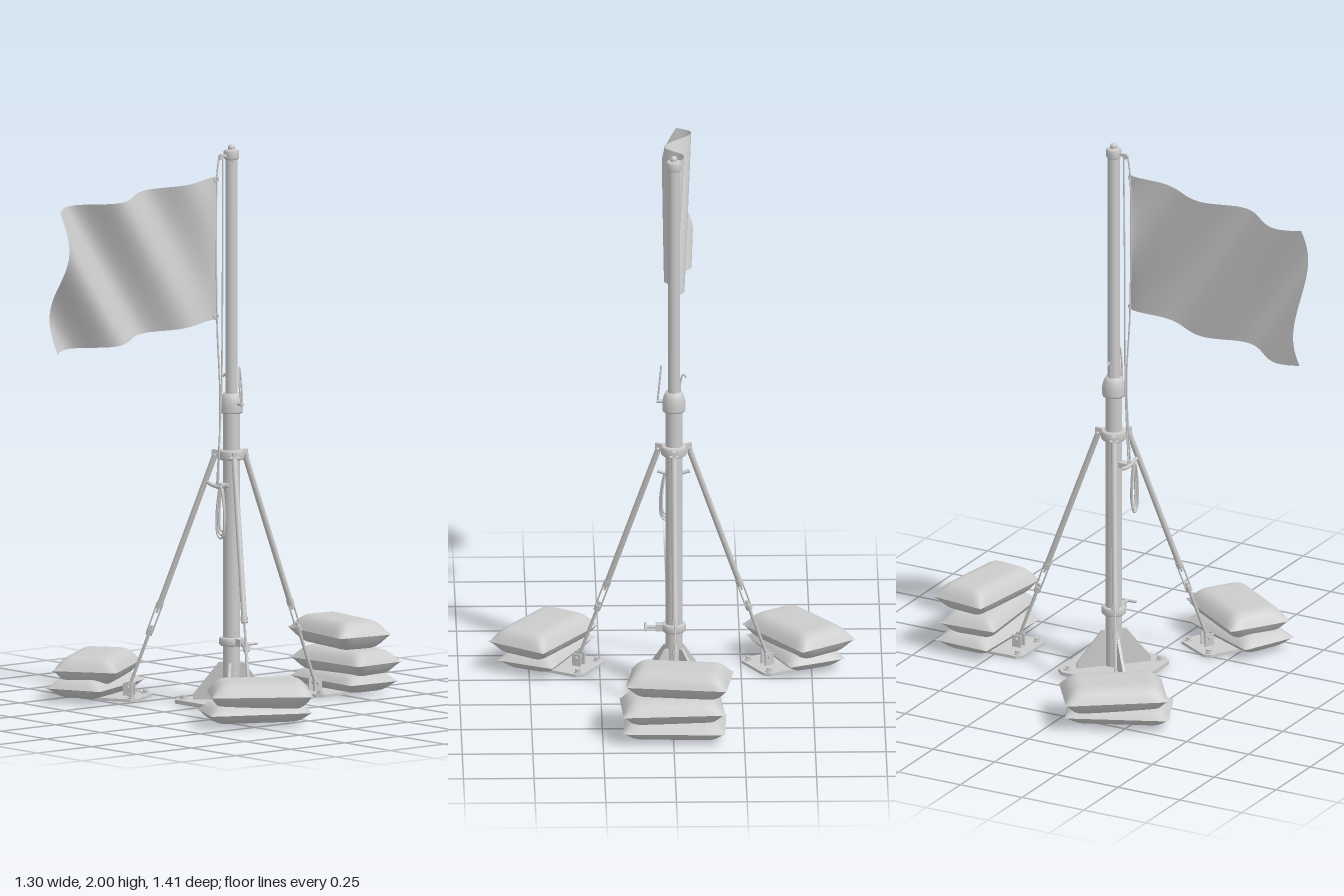
import * as THREE from 'three';

const GREY = new THREE.MeshStandardMaterial({ color: 0xcccccc });
const THIN = new THREE.MeshStandardMaterial({ color: 0xcccccc, side: THREE.DoubleSide });
const V = (x, y, z) => new THREE.Vector3(x, y, z);

function add(parent, name, geometry, x = 0, y = 0, z = 0, material = GREY) {
  const mesh = new THREE.Mesh(geometry, material);
  mesh.name = name;
  mesh.position.set(x, y, z);
  parent.add(mesh);
  return mesh;
}

// Round bar between two points
function rod(parent, name, a, b, r, sides = 12) {
  const mesh = add(parent, name, new THREE.CylinderGeometry(r, r, a.distanceTo(b), sides));
  mesh.position.copy(a).lerp(b, 0.5);
  mesh.quaternion.setFromUnitVectors(V(0, 1, 0), b.clone().sub(a).normalize());
  return mesh;
}

function rope(parent, name, points, r, closed = false) {
  const curve = new THREE.CatmullRomCurve3(points, closed);
  return add(parent, name, new THREE.TubeGeometry(curve, 48, r, 8, closed));
}

// Flat plate with cut corners, lying on y = 0
function plate(w, d, cut, t) {
  const a = w / 2, b = d / 2;
  const shape = new THREE.Shape([
    [-a + cut, -b], [a - cut, -b], [a, -b + cut], [a, b - cut],
    [a - cut, b], [-a + cut, b], [-a, b - cut], [-a, -b + cut],
  ].map(([x, y]) => new THREE.Vector2(x, y)));
  return new THREE.ExtrudeGeometry(shape, { depth: t, bevelEnabled: false }).rotateX(-Math.PI / 2);
}

// Ring sleeve with a bore
function sleeve(rIn, rOut, h) {
  const c = Math.min(0.005, h / 4);
  const p = [[rIn, 0], [rOut - c, 0], [rOut, c], [rOut, h - c], [rOut - c, h], [rIn, h]];
  return new THREE.LatheGeometry(p.map(([x, y]) => new THREE.Vector2(x, y)), 32);
}

function bolt(parent, x, y, z) {
  add(parent, 'washer', new THREE.CylinderGeometry(0.014, 0.014, 0.004, 16), x, y + 0.002, z);
  add(parent, 'boltHead', new THREE.CylinderGeometry(0.009, 0.009, 0.01, 6), x, y + 0.008, z);
}

// Pillow with a sharp seam around the middle
function sandbag(parent, x, y, z, yaw, h, length = 0.36, width = 0.215) {
  const bag = new THREE.Group();
  bag.name = 'sandbag';
  const geo = new THREE.PlaneGeometry(length, width, 36, 24).rotateX(-Math.PI / 2);
  const pos = geo.attributes.position;
  const swell = d => 1 - (1 - Math.min(d / 0.075, 1)) ** 3;
  for (let i = 0; i < pos.count; i++) {
    const dx = length / 2 - Math.abs(pos.getX(i)), dz = width / 2 - Math.abs(pos.getZ(i));
    pos.setY(i, h * swell(dx) * swell(dz));
  }
  geo.computeVertexNormals();
  add(bag, 'bagTop', geo);
  add(bag, 'bagBottom', geo.clone().rotateX(Math.PI));
  bag.position.set(x, y, z);
  bag.rotation.y = yaw;
  parent.add(bag);
}

// Brace, turnbuckle and anchor plate, built outward along +x
function buildBrace() {
  const g = new THREE.Group();
  g.name = 'brace';
  const top = V(0.062, 0.885, 0), foot = V(0.385, 0.04, 0);
  const at = t => top.clone().lerp(foot, t);
  const across = V(0.934, 0.357, 0);
  add(g, 'collarLug', new THREE.BoxGeometry(0.04, 0.03, 0.012), 0.052, 0.89, 0);
  rod(g, 'lugPin', V(0.062, 0.885, -0.016), V(0.062, 0.885, 0.016), 0.006);
  rod(g, 'braceTube', top, at(0.64), 0.0105);
  rod(g, 'upperNut', at(0.635), at(0.66), 0.013, 6);
  for (const s of [-1, 1]) {
    const off = across.clone().multiplyScalar(s * 0.01);
    rod(g, 'turnbuckleSide', at(0.65).add(off), at(0.76).add(off), 0.003, 8);
    add(g, 'anchorEar', new THREE.BoxGeometry(0.035, 0.045, 0.006), 0.385, 0.033, s * 0.014);
  }
  rod(g, 'turnbuckleScrew', at(0.65), at(0.68), 0.004, 8);
  rod(g, 'lowerNut', at(0.75), at(0.775), 0.012, 6);
  rod(g, 'lowerRod', at(0.735), foot, 0.006);
  rod(g, 'anchorPin', V(0.385, 0.04, -0.025), V(0.385, 0.04, 0.025), 0.007);
  add(g, 'anchorPlate', plate(0.175, 0.19, 0.02, 0.01), 0.412, 0, 0);
  for (const s of [-1, 1]) bolt(g, 0.35, 0.01, s * 0.07);
  return g;
}

// Waving cloth: slanted ripples that grow toward the free edge
function buildFlag() {
  const geo = new THREE.PlaneGeometry(1, 1, 72, 48);
  const pos = geo.attributes.position;
  for (let i = 0; i < pos.count; i++) {
    const u = pos.getX(i) + 0.5, d = (0.5 - pos.getY(i)) * 0.51, z = 0.7 * u;
    const wave = Math.cos(2 * Math.PI * ((z - 0.7) / 0.33 + (d - 0.125) / 0.53));
    const x = -0.01 - 0.025 * u + 0.055 * Math.pow(u, 0.6) * wave;
    pos.setXYZ(i, x, 1.89 - d - 0.07 * u - 0.005 * u * wave, z + 0.003);
  }
  geo.computeVertexNormals();
  return geo;
}

export function createModel() {
  const model = new THREE.Group();
  const mast = new THREE.Group();
  mast.name = 'mast';
  mast.position.set(-0.01, 0, -0.067);
  model.add(mast);

  // Base plate, bolts and diagonal gussets
  add(mast, 'basePlate', plate(0.31, 0.31, 0.03, 0.014));
  const gusset = new THREE.Shape([[0.025, 0], [0.135, 0], [0.135, 0.02], [0.045, 0.135], [0.025, 0.135]]
    .map(([x, y]) => new THREE.Vector2(x, y)));
  const gussetGeo = new THREE.ExtrudeGeometry(gusset, { depth: 0.01, bevelEnabled: false }).translate(0, 0.013, -0.005);
  for (let i = 0; i < 4; i++) {
    const a = Math.PI / 4 + i * Math.PI / 2;
    add(mast, 'gusset', gussetGeo).rotation.y = a;
    bolt(mast, Math.cos(a) * 0.17, 0.014, Math.sin(a) * 0.17);
  }

  // Pole sections, collars and finial
  add(mast, 'lowerPole', new THREE.CylinderGeometry(0.03, 0.03, 1.04, 32), 0, 0.53, 0);
  add(mast, 'upperPole', new THREE.CylinderGeometry(0.0215, 0.0215, 0.9, 32), 0, 1.5, 0);
  add(mast, 'baseCollar', sleeve(0.028, 0.043, 0.03), 0, 0.208, 0);
  const neck = [[0.029, 0], [0.04, 0], [0.041, 0.006], [0.041, 0.035], [0.036, 0.055], [0.029, 0.07], [0.021, 0.07]];
  add(mast, 'clampCollar', new THREE.LatheGeometry(neck.map(([x, y]) => new THREE.Vector2(x, y)), 32), 0, 1.04, 0);
  add(mast, 'braceCollar', sleeve(0.028, 0.046, 0.035), 0, 0.873, 0);
  add(mast, 'topCap', sleeve(0.005, 0.027, 0.035), 0, 1.945, 0);
  add(mast, 'finialNeck', new THREE.CylinderGeometry(0.009, 0.014, 0.012, 20), 0, 1.983, 0);
  add(mast, 'finial', new THREE.SphereGeometry(0.0125, 20, 14), 0, 1.9875, 0);

  // Clamp screw with T handle on the base collar
  rod(mast, 'clampScrew', V(0.035, 0.223, 0), V(0.1, 0.223, 0), 0.006);
  rod(mast, 'clampHandle', V(0.1, 0.223, -0.035), V(0.1, 0.223, 0.035), 0.005);
  add(mast, 'clampBoss', new THREE.BoxGeometry(0.03, 0.026, 0.03), 0.05, 0.223, 0);

  // Locking pin with long pull loop, and small hook opposite
  rod(mast, 'lockPin', V(0.03, 1.075, 0), V(0.062, 1.075, 0), 0.007);
  rope(mast, 'pullLoop', [V(0.058, 1.07, 0), V(0.054, 1.11, 0.004), V(0.048, 1.17, 0.004), V(0.045, 1.208, 0),
    V(0.048, 1.17, -0.004), V(0.054, 1.11, -0.004)], 0.003, true);
  rope(mast, 'sideHook', [V(-0.022, 1.105, 0), V(-0.024, 1.15, 0), V(-0.034, 1.175, 0), V(-0.044, 1.165, 0)], 0.0035);

  // Braces with anchor plates
  for (let i = 0; i < 3; i++) {
    const brace = buildBrace();
    brace.rotation.y = Math.PI / 2 + i * Math.PI * 2 / 3;
    mast.add(brace);
  }

  // Cleat
  add(mast, 'cleatFoot', new THREE.BoxGeometry(0.03, 0.02, 0.035), 0, 0.782, 0.042);
  rope(mast, 'cleatHorns', [V(-0.058, 0.79, 0.06), V(-0.025, 0.781, 0.06), V(0.025, 0.781, 0.06), V(0.058, 0.79, 0.06)], 0.007);

  // Pulley arm, halyard lines and rope coil
  add(mast, 'pulleyArm', new THREE.BoxGeometry(0.01, 0.01, 0.03), 0, 1.962, 0.037);
  add(mast, 'pulley', new THREE.CylinderGeometry(0.01, 0.01, 0.008, 20), 0, 1.957, 0.048).rotation.z = Math.PI / 2;
  rope(mast, 'halyardFront', [V(0, 1.957, 0.057), V(0, 1.89, 0.066), V(0, 1.38, 0.066), V(0, 1.1, 0.052), V(0.005, 0.79, 0.064)], 0.003);
  rope(mast, 'halyardBack', [V(0, 1.957, 0.04), V(0.003, 1.5, 0.043), V(0, 1.08, 0.047), V(-0.005, 0.79, 0.062)], 0.003);
  for (let i = 0; i < 3; i++) {
    const w = 0.014 + i * 0.003, low = 0.635 - i * 0.012, z = 0.064 + i * 0.004;
    rope(mast, 'ropeCoil', [V(0.026, 0.785, z), V(0.026 + w, 0.7, z), V(0.026 + w * 0.8, low, z),
      V(0.026, low - 0.012, z), V(0.026 - w * 0.8, low, z), V(0.026 - w, 0.7, z)], 0.0035, true);
  }

  // Flag and its clips
  add(model, 'flag', buildFlag(), 0, 0, 0, THIN);
  for (const y of [1.88, 1.39]) add(model, 'flagClip', new THREE.TorusGeometry(0.009, 0.003, 8, 20), -0.01, y, 0.003).rotation.y = Math.PI / 2;

  // Sandbags stacked on the anchor plates: x, y, z, yaw, half height, length, width
  [
    [-0.005, 0.045, -0.582, -0.04, 0.036], [0.004, 0.113, -0.582, 0.06, 0.046], [-0.022, 0.212, -0.575, -0.134, 0.051],
    [0.437, 0.047, 0.196, 1.125, 0.036, 0.37], [0.447, 0.11, 0.182, 0.975, 0.05, 0.36, 0.235],
    [-0.446, 0.047, 0.196, -1.145, 0.036, 0.37], [-0.456, 0.11, 0.18, -0.95, 0.05, 0.365, 0.235],
  ].forEach(b => sandbag(model, ...b));

  return model;
}
